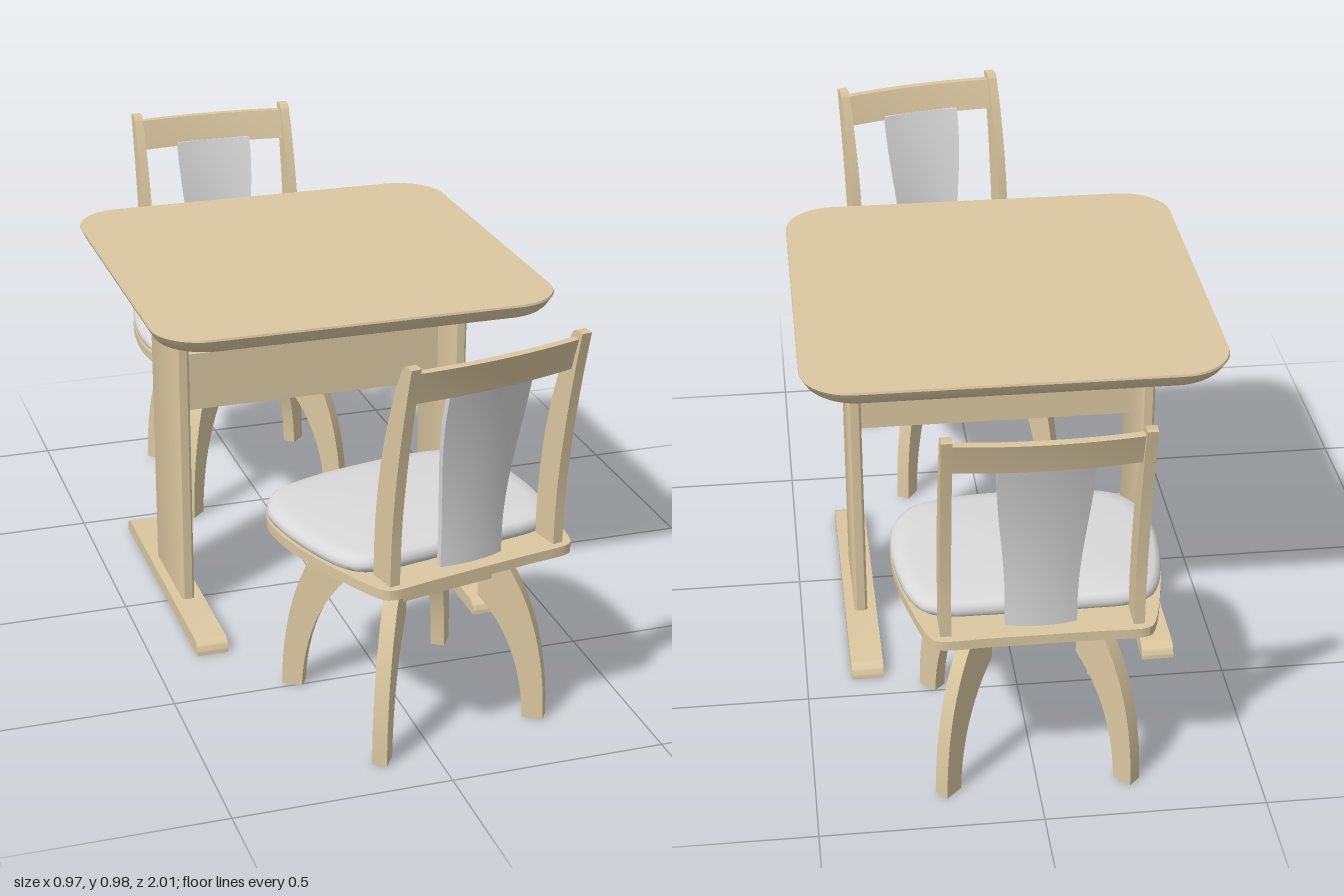
import * as THREE from 'three';
import { toCreasedNormals } from 'three/addons/utils/BufferGeometryUtils.js';

const wood = new THREE.MeshStandardMaterial({ color: 0xdbc8a1 });
wood.name = 'paleWood';
const fabric = new THREE.MeshStandardMaterial({ color: 0xdadada });
fabric.name = 'greyFabric';

const V2 = (x, y) => new THREE.Vector2(x, y);

function add(parent, name, geometry, material, x = 0, y = 0, z = 0) {
  const mesh = new THREE.Mesh(geometry, material);
  mesh.name = name;
  mesh.position.set(x, y, z);
  parent.add(mesh);
  return mesh;
}

const box = (w, h, d) => new THREE.BoxGeometry(w, h, d);

function roundedRect(w, h, r) {
  const s = new THREE.Shape();
  const x = w / 2, y = h / 2;
  s.absarc(x - r, y - r, r, 0, Math.PI / 2);
  s.absarc(r - x, y - r, r, Math.PI / 2, Math.PI);
  s.absarc(r - x, r - y, r, Math.PI, Math.PI * 1.5);
  s.absarc(x - r, r - y, r, Math.PI * 1.5, Math.PI * 2);
  s.closePath();
  return s;
}

// Flat board cut from a shape, centred on its thickness
function board(shape, thickness) {
  const g = new THREE.ExtrudeGeometry(shape, { depth: thickness, bevelEnabled: false, curveSegments: 12 });
  g.translate(0, 0, -thickness / 2);
  return toCreasedNormals(g, 0.6);
}

// Stack scaled copies of an (x, z) outline; rings are [scale, y] from bottom to top
function loft(outline, rings, crease) {
  const n = outline.length, pos = [], index = [];
  for (const [s, y] of rings) for (const p of outline) pos.push(p.x * s, y, p.y * s);
  for (let j = 0; j < rings.length - 1; j++) {
    for (let i = 0; i < n; i++) {
      const k = (i + 1) % n;
      const a = j * n + i, b = j * n + k, c = b + n, d = a + n;
      if (rings[j + 1][0] > 0) index.push(a, d, c);
      if (rings[j][0] > 0) index.push(a, c, b);
    }
  }
  const g = new THREE.BufferGeometry();
  g.setAttribute('position', new THREE.Float32BufferAttribute(pos, 3));
  g.setIndex(index);
  return toCreasedNormals(g.toNonIndexed(), crease);
}

// Smooth symmetric seat outline from right-half points, back to front
function seatOutline(half) {
  const pts = [...half, ...half.slice(1, -1).reverse().map(([x, z]) => [-x, z])];
  const curve = new THREE.CatmullRomCurve3(pts.map(([x, z]) => new THREE.Vector3(x, 0, z)), true);
  return curve.getPoints(96).slice(0, -1).map((p) => V2(p.x, p.z));
}

// Lean of the backrest: depth at a given height
const backZ = (y) => -0.222 - 0.09 * ((y - 0.46) / 0.52) ** 2;

// Thin panel following the backrest lean, bowed across its width
function backPanel(y0, y1, thickness, halfWidth, bow) {
  const g = new THREE.BoxGeometry(2, y1 - y0, thickness, 12, 14, 1);
  g.translate(0, (y0 + y1) / 2, 0);
  const p = g.attributes.position;
  for (let i = 0; i < p.count; i++) {
    const x = p.getX(i), y = p.getY(i);
    p.setX(i, x * halfWidth(y));
    p.setZ(i, p.getZ(i) + backZ(y) - bow * (1 - x * x));
  }
  g.computeVertexNormals();
  return g;
}

function createChair(name) {
  const chair = new THREE.Group();
  chair.name = name;

  // Curved legs on the diagonals, each with an arm reaching the centre
  const leg = new THREE.Shape();
  leg.moveTo(0, 0.34);
  leg.lineTo(0.15, 0.34);
  leg.lineTo(0.15, 0.3);
  leg.quadraticCurveTo(0.255, 0.19, 0.262, 0);
  leg.lineTo(0.31, 0);
  leg.quadraticCurveTo(0.31, 0.25, 0.205, 0.4);
  leg.lineTo(0, 0.4);
  leg.closePath();
  const legGeometry = board(leg, 0.034);
  for (let i = 0; i < 4; i++) {
    add(chair, 'chairLeg', legGeometry, wood).rotation.y = Math.PI / 4 + (i * Math.PI) / 2;
  }

  // Square apron under the swivel plate
  for (let i = 0; i < 4; i++) {
    const side = new THREE.Group();
    side.name = 'apronSide';
    side.rotation.y = (i * Math.PI) / 2;
    add(side, 'apron', box(0.28, 0.065, 0.02), wood, 0, 0.3775, 0.13);
    chair.add(side);
  }
  add(chair, 'swivelPlate', box(0.3, 0.012, 0.3), wood, 0, 0.408, 0);
  add(chair, 'seatSupport', box(0.4, 0.026, 0.4), wood, 0, 0.426, 0);

  // Seat board and cushion
  const front = [[0.297, -0.02], [0.302, 0.08], [0.288, 0.17], [0.24, 0.235], [0.15, 0.262], [0, 0.27]];
  const boardLine = seatOutline([[0, -0.274], [0.12, -0.274], [0.222, -0.274], [0.24, -0.262], [0.28, -0.12], ...front]);
  add(chair, 'seatBoard', loft(boardLine, [[0, 0.438], [1, 0.438], [1, 0.461], [0, 0.461]], 0.6), wood);
  const cushionLine = seatOutline([[0, -0.192], [0.12, -0.192], [0.205, -0.188], [0.25, -0.168], [0.277, -0.12], ...front]);
  add(chair, 'cushion', loft(cushionLine,
    [[0, 0.461], [0.97, 0.461], [0.995, 0.468], [0.998, 0.477], [0.985, 0.487], [0.95, 0.494], [0.85, 0.497], [0, 0.499]], 1), fabric);

  // Back posts, tapering and leaning backwards
  const post = new THREE.Shape();
  post.moveTo(-0.257, 0.46);
  post.lineTo(-0.187, 0.46);
  post.splineThru([V2(-0.193, 0.6), V2(-0.216, 0.75), V2(-0.254, 0.88), V2(-0.288, 0.965)]);
  post.quadraticCurveTo(-0.295, 0.98, -0.306, 0.982);
  post.lineTo(-0.328, 0.98);
  post.splineThru([V2(-0.306, 0.88), V2(-0.282, 0.75), V2(-0.263, 0.6), V2(-0.257, 0.46)]);
  const postGeometry = board(post, 0.024);
  postGeometry.rotateY(-Math.PI / 2);
  for (const s of [-1, 1]) add(chair, 'backPost', postGeometry, wood, s * 0.209, 0, 0);

  // Bowed top rail and padded splat that widens upwards
  add(chair, 'topRail', backPanel(0.89, 0.965, 0.02, () => 0.2, 0.014), wood);
  const splatWidth = (y) => 0.078 + 0.024 * THREE.MathUtils.smoothstep(y, 0.52, 0.87);
  add(chair, 'backSplat', backPanel(0.46, 0.9, 0.014, splatWidth, 0.01), fabric);
  return chair;
}

function createTable() {
  const table = new THREE.Group();
  table.name = 'table';
  table.position.z = -0.07;

  // Top with an undercut edge
  const outline = roundedRect(0.974, 0.974, 0.12).getPoints(12);
  add(table, 'tableTop', loft(outline,
    [[0, 0.822], [0.962, 0.822], [0.975, 0.829], [1, 0.853], [0.997, 0.858], [0, 0.858]], 0.5), wood);

  const panel = board(roundedRect(0.032, 0.265, 0.01), 0.766);
  panel.rotateX(-Math.PI / 2);

  // Foot with rounded upper ends
  const foot = new THREE.Shape();
  foot.moveTo(-0.367, 0);
  foot.lineTo(0.367, 0);
  foot.lineTo(0.367, 0.008);
  foot.quadraticCurveTo(0.362, 0.034, 0.335, 0.034);
  foot.lineTo(-0.335, 0.034);
  foot.quadraticCurveTo(-0.362, 0.034, -0.367, 0.008);
  foot.closePath();
  const footGeometry = board(foot, 0.077);
  footGeometry.rotateY(-Math.PI / 2);

  for (const s of [-1, 1]) {
    const x = s * 0.354;
    add(table, 'tableLeg', panel, wood, x, 0.417, 0.007);
    add(table, 'tableFoot', footGeometry, wood, x, 0, 0.003);
    add(table, 'topBatten', box(0.075, 0.023, 0.734), wood, x, 0.8105, 0.003);
  }
  add(table, 'stretcher', box(0.678, 0.147, 0.026), wood, 0, 0.564, 0.005);
  return table;
}

export function createModel() {
  const model = new THREE.Group();
  model.name = 'diningSet';
  model.add(createTable());

  const backChair = createChair('backChair');
  backChair.position.z = -0.673;
  model.add(backChair);

  // Nearer chair faces the table, swivelled a little
  const frontChair = createChair('frontChair');
  frontChair.position.set(0.035, 0, 0.637);
  frontChair.rotation.y = Math.PI + THREE.MathUtils.degToRad(12);
  model.add(frontChair);
  return model;
}
